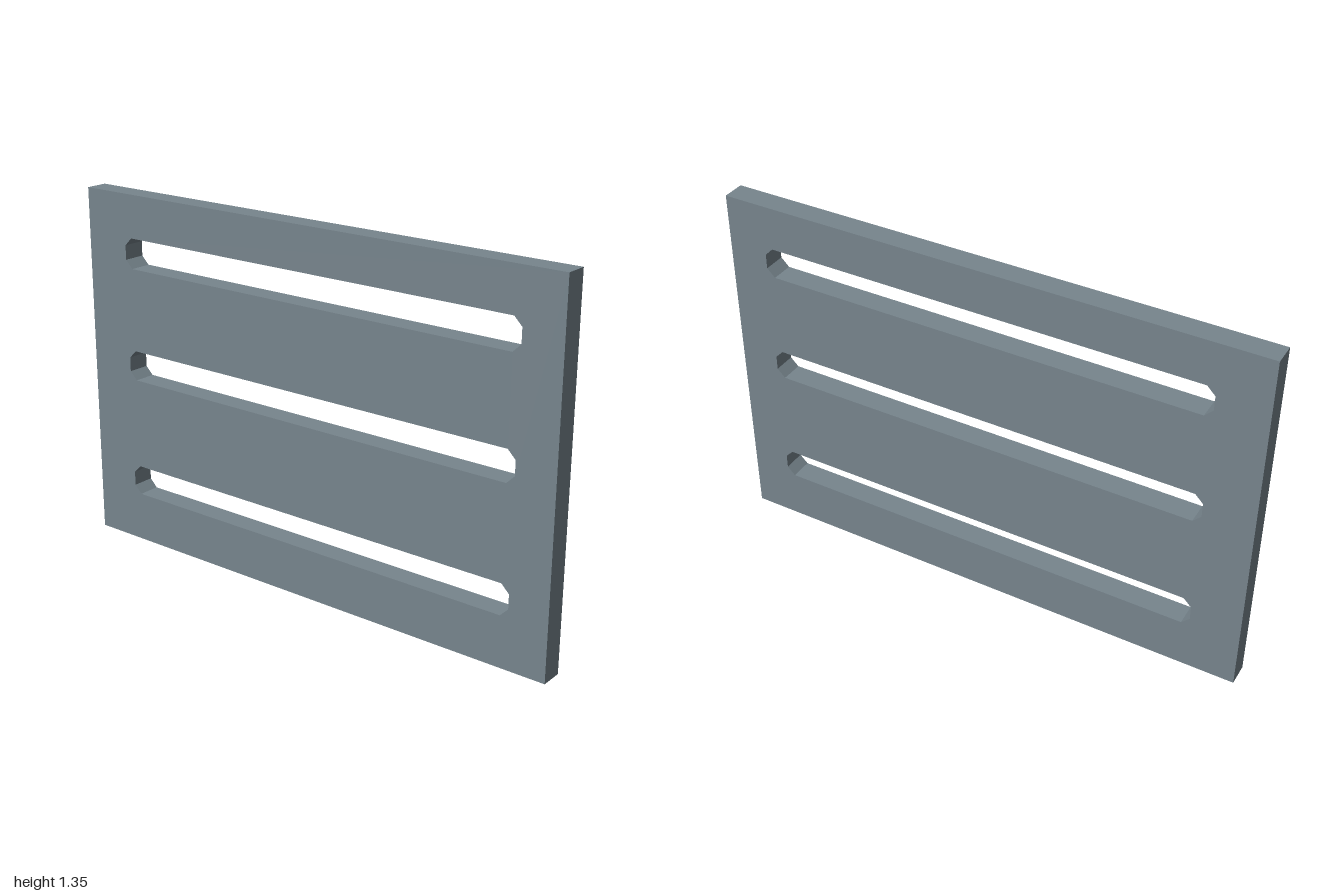
import * as THREE from 'three';

const HEIGHT = 1.352, THICKNESS = 0.084;
const SLOT = { z0: -0.818, z1: 0.853, height: 0.114, chamfer: 0.03 };
const SLOT_CENTRES = [0.246, 0.706, 1.134];

// Long slot with chamfered corners, in (z, y)
function slotPath(y) {
  const { z0, z1, height, chamfer: c } = SLOT;
  const y0 = y - height / 2, y1 = y + height / 2;
  return new THREE.Path([
    [z0 + c, y0], [z0, y0 + c], [z0, y1 - c], [z0 + c, y1],
    [z1 - c, y1], [z1, y1 - c], [z1, y0 + c], [z1 - c, y0],
  ].map(([a, b]) => new THREE.Vector2(a, b)));
}

export function createModel() {
  const group = new THREE.Group();
  group.name = 'slottedPanel';

  // Upright plate outline, in (z, y)
  const outline = new THREE.Shape([
    new THREE.Vector2(-1, 0), new THREE.Vector2(1, 0),
    new THREE.Vector2(1, HEIGHT), new THREE.Vector2(-1, HEIGHT),
  ]);
  outline.holes = SLOT_CENTRES.map(slotPath);

  // Extrude the thickness, then turn the plate so it runs along z
  const geometry = new THREE.ExtrudeGeometry(outline, { depth: THICKNESS, bevelEnabled: false });
  geometry.translate(0, 0, -THICKNESS / 2).rotateY(-Math.PI / 2);

  // Slate blue-grey
  const material = new THREE.MeshStandardMaterial({ color: 0x77858d, flatShading: true });
  const panel = new THREE.Mesh(geometry, material);
  panel.name = 'panel';
  group.add(panel);
  return group;
}
